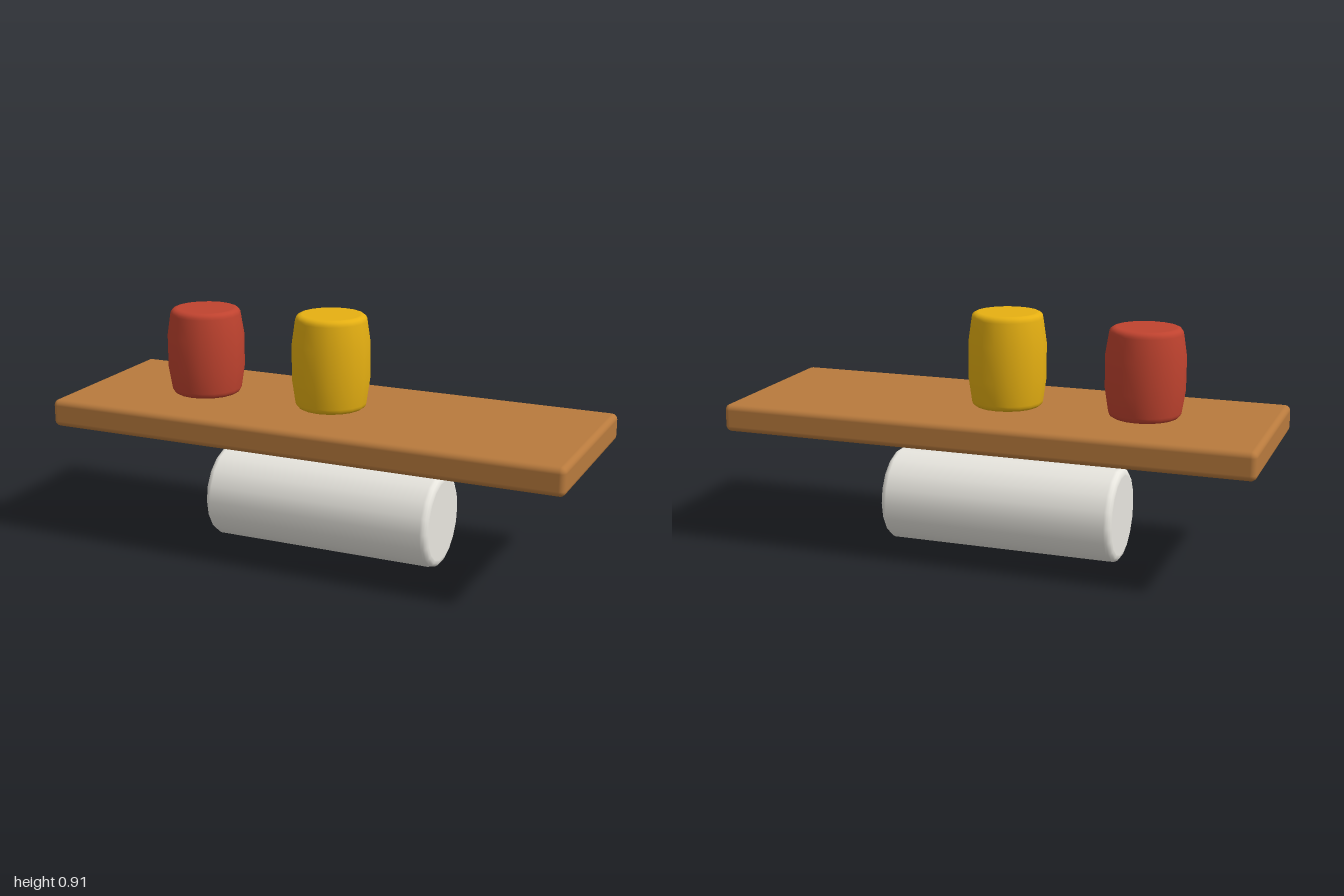
import * as THREE from 'three';
import { RoundedBoxGeometry } from 'three/addons/geometries/RoundedBoxGeometry.js';

const SIDES = 18;

function addPart(group, name, geometry, color, x, y) {
  const mesh = new THREE.Mesh(geometry, new THREE.MeshStandardMaterial({ color }));
  mesh.name = name;
  mesh.position.set(x, y, 0);
  group.add(mesh);
  return mesh;
}

// Closed solid of revolution, symmetric about mid-height, with rounded rims.
// rimRadius: radius at the rim; belly: [radius, half height] of the widest band.
function roundedSolid(height, rimRadius, bevel, belly) {
  const h = height / 2;
  const upper = [];
  if (belly) upper.push(new THREE.Vector2(belly[0], belly[1]));
  for (let i = 0; i <= 4; i++) {
    const a = (i / 4) * Math.PI / 2;
    upper.push(new THREE.Vector2(rimRadius - bevel + bevel * Math.cos(a), h - bevel + bevel * Math.sin(a)));
  }
  // a point just inside the rim keeps the cap flat
  upper.push(new THREE.Vector2(rimRadius - bevel - 0.003, h), new THREE.Vector2(0, h));
  const lower = upper.map((p) => new THREE.Vector2(p.x, -p.y)).reverse();
  return new THREE.LatheGeometry([...lower, ...upper], SIDES);
}

export function createModel() {
  const model = new THREE.Group();
  model.name = 'balanceBoard';

  // Roller lying along x
  const roller = addPart(model, 'roller', roundedSolid(0.904, 0.178, 0.025), 0xe8e6df, 0, 0.177);
  roller.rotation.z = -Math.PI / 2;

  // Plank hovering above the roller
  addPart(model, 'plank', new RoundedBoxGeometry(2, 0.104, 0.714, 3, 0.022), 0xb87a3d, 0, 0.511);

  // Two barrels standing on the plank
  const barrels = [
    ['redBarrel', 0xc0432f, -0.526, 0.329],
    ['yellowBarrel', 0xe6b012, 0, 0.352],
  ];
  for (const [name, color, x, height] of barrels) {
    const geometry = roundedSolid(height, 0.134, 0.022, [0.1465, height * 0.19]);
    addPart(model, name, geometry, color, x, 0.563 + height / 2);
  }
  return model;
}
